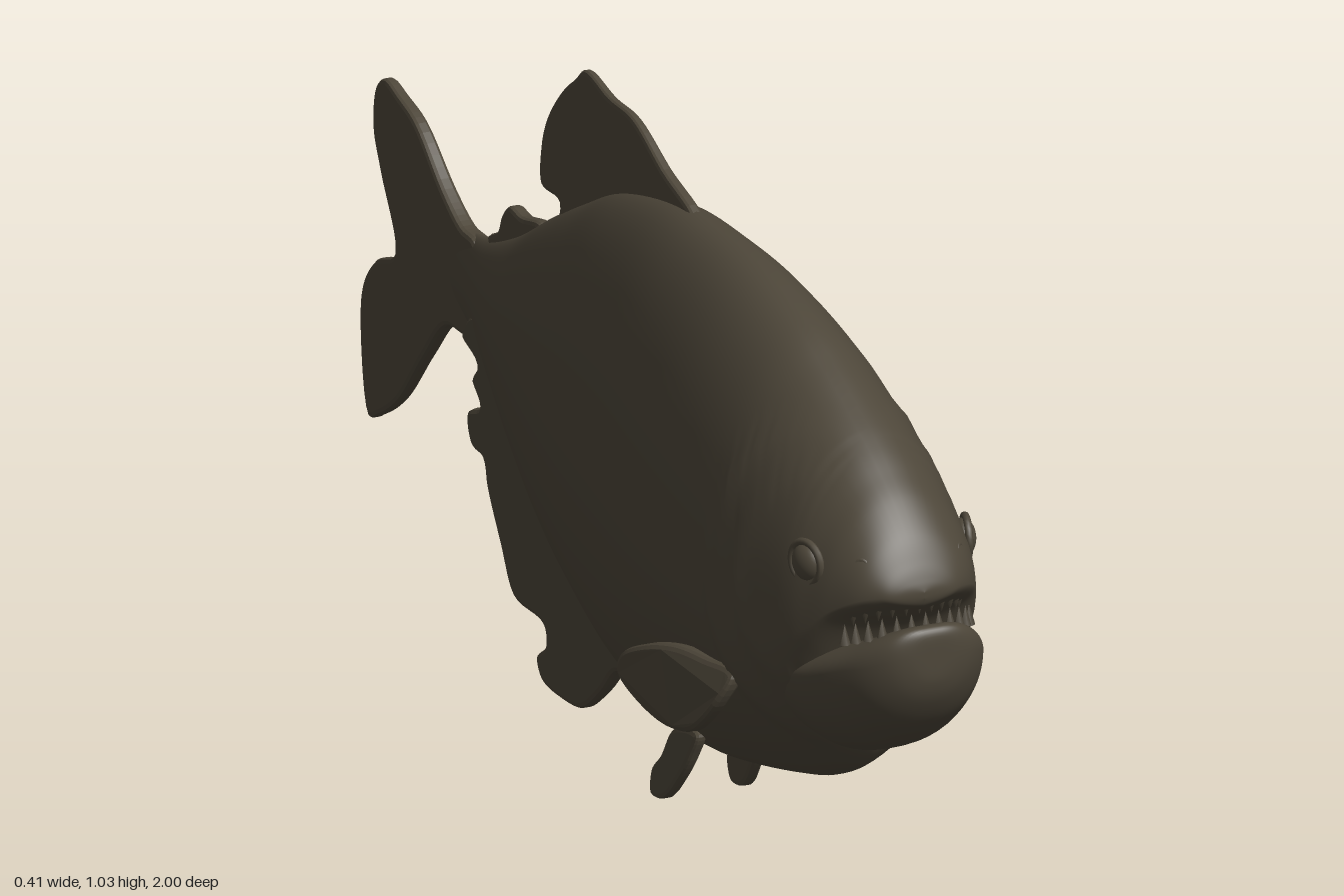
import * as THREE from 'three';

const skin = new THREE.MeshStandardMaterial({ color: 0x4d4639 });
skin.name = 'dark olive skin';

const add = (parent, name, geo) => {
  const m = new THREE.Mesh(geo, skin);
  m.name = name;
  parent.add(m);
  return m;
};

// Catmull-Rom interpolation along rows of numbers
function sampleRows(rows, steps) {
  const out = [];
  const last = rows.length - 1;
  for (let s = 0; s <= steps; s++) {
    const t = (s / steps) * last;
    const i = Math.min(Math.floor(t), last - 1);
    const u = t - i;
    const [a, b, c, d] = [rows[Math.max(i - 1, 0)], rows[i], rows[i + 1], rows[Math.min(i + 2, last)]];
    out.push(b.map((p, k) => 0.5 * (2 * p + (c[k] - a[k]) * u + (2 * a[k] - 5 * p + 4 * c[k] - d[k]) * u * u
      + (3 * p - a[k] - 3 * c[k] + d[k]) * u * u * u)));
  }
  return out;
}

// Closed skin over cross-sections [z, top, widest y, bottom, half width]
function loft(rows, steps, topPower, bottomPower, adjust = () => 1) {
  const seg = 56;
  const pos = [];
  const index = [];
  const rings = sampleRows(rows, steps);
  rings.forEach(([z, top, mid, bottom, w], r) => {
    for (let j = 0; j < seg; j++) {
      const a = (j / seg) * Math.PI * 2;
      const c = Math.cos(a), s = Math.sin(a);
      const y = mid + s * (s > 0 ? top - mid : mid - bottom);
      const x = Math.sign(c) * w * Math.pow(Math.abs(c), s > 0 ? topPower : bottomPower);
      pos.push(x * adjust(z, y), y, z);
      if (r < rings.length - 1) {
        const p0 = r * seg + j, p1 = r * seg + (j + 1) % seg;
        index.push(p0, p0 + seg, p1, p1, p0 + seg, p1 + seg);
      }
    }
  });
  const g = new THREE.BufferGeometry();
  g.setAttribute('position', new THREE.Float32BufferAttribute(pos, 3));
  g.setIndex(index);
  g.computeVertexNormals();
  return g;
}

// Thin fin from an outline of [z, y] points; place(x, y, z) gives the final x
function fin(outline, half, place = (x) => x) {
  const curve = new THREE.CatmullRomCurve3(outline.map(([z, y]) => new THREE.Vector3(z, y, 0)), true, 'centripetal');
  const shape = new THREE.Shape(curve.getPoints(outline.length * 6).slice(0, -1).map((p) => new THREE.Vector2(p.x, p.y)));
  const g = new THREE.ExtrudeGeometry(shape, {
    depth: half, bevelEnabled: true, bevelThickness: half / 2, bevelSize: 0.008, bevelOffset: -0.008, bevelSegments: 2,
  });
  g.translate(0, 0, -half / 2).rotateY(-Math.PI / 2);
  const p = g.attributes.position;
  for (let i = 0; i < p.count; i++) p.setX(i, place(p.getX(i), p.getY(i), p.getZ(i)));
  g.computeVertexNormals();
  return g;
}

// Raised gill cover and cheek, each ending in a soft step
function gillRelief(z, y) {
  let k = 1;
  for (const [cz, cy, rz, ry, h] of [[0.78, 0.54, 0.22, 0.25, 0.06], [0.8, 0.56, 0.15, 0.17, 0.035]]) {
    const d = Math.hypot((z - cz) / rz, (y - cy) / ry);
    if (z < cz) k += h * Math.pow(Math.min(d, 1), 4) * (1 - THREE.MathUtils.smoothstep(d, 0.97, 1.08));
  }
  return k;
}

export function createModel() {
  const fish = new THREE.Group();
  fish.name = 'fish';

  // Body and upper head
  add(fish, 'body', loft([
    [0.962, 0.575, 0.57, 0.565, 0], [0.957, 0.59, 0.57, 0.553, 0.045], [0.945, 0.615, 0.57, 0.543, 0.072],
    [0.92, 0.655, 0.56, 0.525, 0.1], [0.88, 0.698, 0.535, 0.49, 0.125], [0.84, 0.73, 0.5, 0.39, 0.143],
    [0.8, 0.758, 0.48, 0.285, 0.156], [0.75, 0.787, 0.465, 0.23, 0.164], [0.65, 0.837, 0.45, 0.183, 0.172],
    [0.55, 0.878, 0.45, 0.153, 0.173], [0.4, 0.914, 0.45, 0.118, 0.168], [0.25, 0.928, 0.46, 0.092, 0.156],
    [0.1, 0.925, 0.48, 0.087, 0.139], [-0.07, 0.888, 0.5, 0.117, 0.118], [-0.2, 0.83, 0.52, 0.17, 0.1],
    [-0.32, 0.768, 0.54, 0.235, 0.08], [-0.43, 0.705, 0.555, 0.325, 0.06], [-0.53, 0.665, 0.56, 0.42, 0.038],
    [-0.61, 0.648, 0.565, 0.482, 0.022], [-0.69, 0.64, 0.565, 0.49, 0.012], [-0.78, 0.58, 0.56, 0.54, 0.004],
    [-0.8, 0.56, 0.56, 0.56, 0],
  ], 150, 1, 1.5, gillRelief));

  // Jutting lower jaw
  add(fish, 'lowerJaw', loft([
    [1.0, 0.49, 0.48, 0.47, 0], [0.998, 0.52, 0.485, 0.44, 0.04], [0.985, 0.53, 0.48, 0.405, 0.072],
    [0.955, 0.52, 0.465, 0.362, 0.1], [0.91, 0.497, 0.45, 0.325, 0.122], [0.86, 0.475, 0.43, 0.295, 0.138],
    [0.8, 0.45, 0.41, 0.278, 0.145], [0.72, 0.42, 0.4, 0.3, 0.13], [0.66, 0.4, 0.4, 0.4, 0],
  ], 48, 0.6, 0.9));

  // Two rows of small pointed teeth following the curve of the mouth
  const teeth = new THREE.Group();
  teeth.name = 'teeth';
  fish.add(teeth);
  for (let i = -6; i <= 6; i++) {
    const a = (i / 6) * 1.25;
    const x = 0.11 * Math.sin(a), z = 0.87 + 0.095 * Math.cos(a);
    const lower = add(teeth, 'lowerTooth', new THREE.ConeGeometry(0.009, 0.032, 5));
    lower.position.set(x, 0.492 + 0.038 * Math.cos(a), z);
    const upper = add(teeth, 'upperTooth', new THREE.ConeGeometry(0.007, 0.022, 5));
    upper.rotation.x = Math.PI;
    upper.position.set(x * 0.93, 0.502 + 0.043 * Math.cos(a), z - 0.022);
  }

  // Fins along the middle of the back, belly and tail
  add(fish, 'dorsalFin', fin([
    [0.17, 0.92], [0.06, 0.965], [-0.045, 1.013], [-0.13, 1.02], [-0.215, 1.036], [-0.25, 1.01], [-0.29, 0.98],
    [-0.34, 0.92], [-0.358, 0.87], [-0.355, 0.81], [-0.29, 0.8], [-0.3, 0.74], [-0.1, 0.82],
  ], 0.012, (x, y) => x * THREE.MathUtils.mapLinear(y, 0.75, 1.04, 1.3, 0.6)));
  add(fish, 'adiposeFin', fin([
    [-0.36, 0.74], [-0.43, 0.733], [-0.47, 0.737], [-0.495, 0.715], [-0.51, 0.685], [-0.545, 0.663], [-0.5, 0.62], [-0.4, 0.65],
  ], 0.012));
  add(fish, 'analFin', fin([
    [-0.06, 0.125], [-0.1, 0.107], [-0.15, 0.06], [-0.22, 0.012], [-0.29, 0.004], [-0.36, 0.014], [-0.375, 0.045],
    [-0.34, 0.075], [-0.345, 0.105], [-0.45, 0.12], [-0.49, 0.19], [-0.53, 0.27], [-0.54, 0.31], [-0.58, 0.32],
    [-0.592, 0.37], [-0.545, 0.395], [-0.57, 0.43], [-0.55, 0.46], [-0.6, 0.49], [-0.55, 0.54], [-0.35, 0.36], [-0.15, 0.24],
  ], 0.014, (x, y) => x * THREE.MathUtils.mapLinear(y, 0, 0.45, 0.7, 2)));
  add(fish, 'tailFin', fin([
    [-0.58, 0.64], [-0.635, 0.652], [-0.7, 0.69], [-0.795, 0.765], [-0.86, 0.788], [-0.91, 0.8], [-0.94, 0.778],
    [-0.95, 0.71], [-0.925, 0.65], [-0.87, 0.535], [-0.94, 0.5], [-0.985, 0.45], [-0.997, 0.39], [-0.968, 0.242],
    [-0.93, 0.255], [-0.86, 0.3], [-0.77, 0.398], [-0.69, 0.475], [-0.6, 0.49],
  ], 0.012, (x, y, z) => x * THREE.MathUtils.mapLinear(z, -0.6, -1, 1.3, 0.7)));

  // Paired features on each flank
  for (const side of [1, -1]) {
    const name = side > 0 ? 'left' : 'right';
    add(fish, name + 'PectoralFin', fin([
      [0.64, 0.365], [0.55, 0.365], [0.46, 0.357], [0.38, 0.335], [0.325, 0.305], [0.312, 0.27], [0.35, 0.237],
      [0.41, 0.218], [0.49, 0.228], [0.56, 0.258], [0.62, 0.31],
    ], 0.012, (x, y, z) => x + side * (0.155 + 0.025 * Math.sin(THREE.MathUtils.clamp((0.37 - y) / 0.16, 0, 1) * Math.PI)
      + 0.016 * (0.64 - z) / 0.33)));
    add(fish, name + 'PelvicFin', fin([
      [0.29, 0.14], [0.21, 0.125], [0.18, 0.075], [0.155, 0.045], [0.16, 0.008], [0.205, 0.014], [0.245, 0.055], [0.275, 0.1],
    ], 0.01, (x, y) => x + side * (0.067 - 0.12 * Math.max(y - 0.01, 0))));

    // Bulging eye with a raised rim, and a nostril ring
    const eye = new THREE.Group();
    eye.name = name + 'Eye';
    eye.position.set(side * 0.13, 0.6, 0.825);
    eye.rotation.y = side * (Math.PI / 2 - 0.28);
    fish.add(eye);
    add(eye, 'eyeball', new THREE.SphereGeometry(0.03, 24, 16)).scale.z = 0.65;
    add(eye, 'eyeRim', new THREE.TorusGeometry(0.033, 0.006, 8, 28)).position.z = 0.004;

    const nostril = add(fish, name + 'Nostril', new THREE.TorusGeometry(0.011, 0.004, 8, 16));
    nostril.position.set(side * 0.082, 0.612, 0.912);
    nostril.rotation.set(-0.3, side * 0.8, 0);
  }
  return fish;
}
